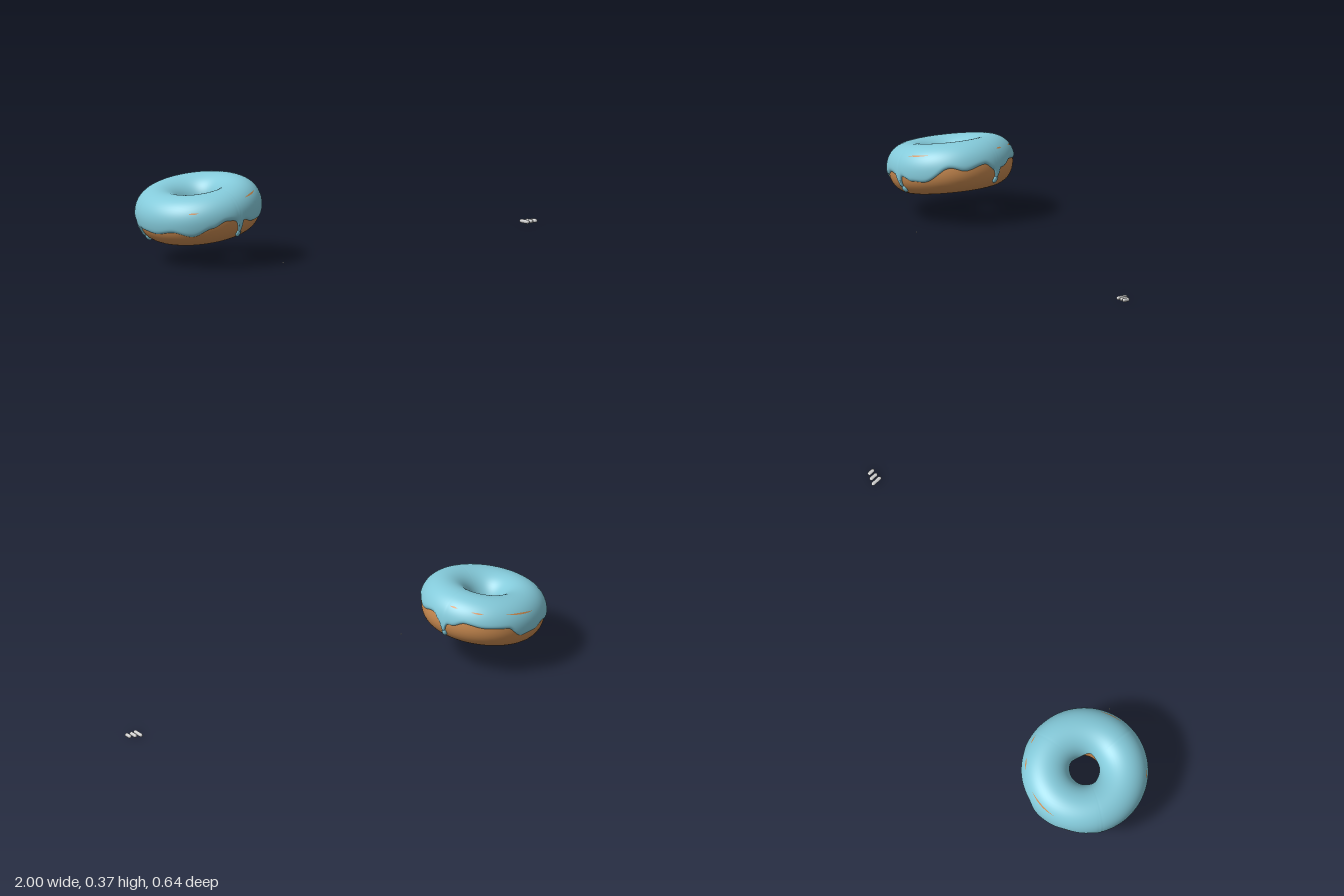
import * as THREE from 'three';

const DEG = Math.PI / 180;
const RING = 0.172, WIDE = 0.099;

// Point on the ring: az around the hole, t around the tube (0 outer, PI/2 top), off = height above the dough
function ringPoint(az, t, off) {
  const c = Math.cos(t), s = Math.sin(t);
  const tall = s > 0 ? 0.104 : 0.109;
  const r = RING + (WIDE + off) * c;
  const y = (tall + off) * Math.sign(s) * Math.pow(Math.abs(s), 0.92);
  return [r * Math.cos(az), y, r * Math.sin(az) * 1.015];
}

// Grid surface from point(i, j); optionally closed in either direction
function grid(nu, nv, wrapU, wrapV, point) {
  const cu = wrapU ? nu : nu + 1, cv = wrapV ? nv : nv + 1;
  const pos = [], idx = [];
  for (let i = 0; i < cu; i++)
    for (let j = 0; j < cv; j++) pos.push(...point(i / nu, j / nv));
  const at = (i, j) => (i % cu) * cv + (j % cv);
  for (let i = 0; i < nu; i++)
    for (let j = 0; j < nv; j++) {
      const a = at(i, j), b = at(i, j + 1), c = at(i + 1, j), d = at(i + 1, j + 1);
      idx.push(a, b, c, b, d, c);
    }
  const g = new THREE.BufferGeometry();
  g.setAttribute('position', new THREE.Float32BufferAttribute(pos, 3));
  g.setIndex(idx);
  g.computeVertexNormals();
  return g;
}

// Wavy outer hem of the icing: [azimuth in degrees, height]
const HEM = [
  [-180, -0.035], [-165, -0.03], [-140, -0.01], [-120, 0.0], [-104, -0.02], [-90, -0.03],
  [-75, 0.005], [-51, 0.0], [-34, 0.006], [-20, -0.016], [-10, -0.024], [3, 0.006],
  [22, -0.009], [37, 0.007], [63, -0.042], [76, -0.036], [88, -0.015], [108, 0.0],
  [122, -0.017], [141, -0.045], [160, -0.022], [180, -0.035],
];
// Drips: [azimuth in degrees, height of the drop]
const DRIPS = [[93, -0.072], [-11.5, -0.066], [-152, -0.08]];

function hemHeight(deg) {
  let k = 0;
  while (k < HEM.length - 2 && deg > HEM[k + 1][0]) k++;
  const [a, ha] = HEM[k], [b, hb] = HEM[k + 1];
  const f = THREE.MathUtils.smoothstep(deg, a, b);
  let h = ha + (hb - ha) * f;
  for (const [d, low] of DRIPS) {
    const w = Math.exp(-(((deg - d) / 2.4) ** 2));
    h += (low - h) * w;
  }
  return h;
}

export function createModel() {
  const icingMat = new THREE.MeshStandardMaterial({ color: 0x84cada });
  icingMat.name = 'blue icing';
  const doughMat = new THREE.MeshStandardMaterial({ color: 0xc98a50 });
  doughMat.name = 'baked dough';
  const sprinkleMat = new THREE.MeshStandardMaterial({ color: 0xcccccc });
  sprinkleMat.name = 'pale grey';

  const model = new THREE.Group();
  const add = (parent, name, geometry, material, x = 0, y = 0, z = 0) => {
    const m = new THREE.Mesh(geometry, material);
    m.name = name;
    m.position.set(x, y, z);
    parent.add(m);
    return m;
  };

  // Tilted ring
  const donut = new THREE.Group();
  donut.name = 'donut';
  donut.position.set(-0.723, 0.232, -0.035);
  donut.rotation.z = 9.5 * DEG;
  model.add(donut);

  add(donut, 'dough', grid(96, 48, true, true,
    (u, v) => ringPoint(u * 2 * Math.PI, v * 2 * Math.PI, 0)), doughMat);

  // Icing shell with rounded lips at the outer hem and inside the hole
  add(donut, 'icing', grid(360, 40, true, false, (u, v) => {
    const deg = u * 360 - 180, az = deg * DEG;
    const outer = Math.asin(hemHeight(deg) / 0.11);
    const inner = Math.PI - 0.05 + 0.15 * Math.sin(3 * az + 1) + 0.08 * Math.sin(5 * az);
    const s = (1 - Math.cos(v * Math.PI)) / 2;
    const e = Math.min(1, Math.min(s, 1 - s) / 0.05);
    const off = -0.004 + 0.0125 * Math.sqrt(1 - (1 - e) ** 2);
    return ringPoint(az, outer + (inner - outer) * s, off);
  }), icingMat);

  // Drops at the drip ends
  for (const [deg, h] of DRIPS) {
    const az = deg * DEG;
    const p = ringPoint(az, Math.asin(h / 0.11), 0.001);
    const drop = add(donut, 'icingDrop', new THREE.SphereGeometry(0.012, 20, 14), icingMat, ...p);
    drop.rotation.set(0, -az, -0.6, 'YXZ');
    drop.scale.set(0.8, 1.6, 1);
  }

  // Slivers of dough showing through the icing shoulder: [from, to, tube angle]
  const slivers = [[56, 80, 0.66], [133, 143, 0.5], [-24, -15, 0.58], [-50, -38, 0.56], [-105, -72, 0.62]];
  for (const [from, to, t] of slivers)
    add(donut, 'doughSliver', grid(20, 2, false, false, (u, v) => ringPoint(
      (from + (to - from) * u) * DEG,
      t + (v - 0.5) * 0.07 * Math.sin(Math.PI * u), 0.0095)), doughMat);

  // Three loose sprinkles lying in a row, and a stray crumb
  for (const [x, z, len] of [[0.945, 0.29, 0.055], [0.968, 0.295, 0.043], [0.991, 0.302, 0.036]]) {
    const r = 0.0085;
    add(model, 'sprinkle', new THREE.CapsuleGeometry(r, len - 2 * r, 6, 16), sprinkleMat, x, 0.01, z)
      .rotation.x = Math.PI / 2;
  }
  add(model, 'crumb', new THREE.SphereGeometry(0.003, 12, 8), sprinkleMat, -0.53, 0.011, 0.3);
  return model;
}
